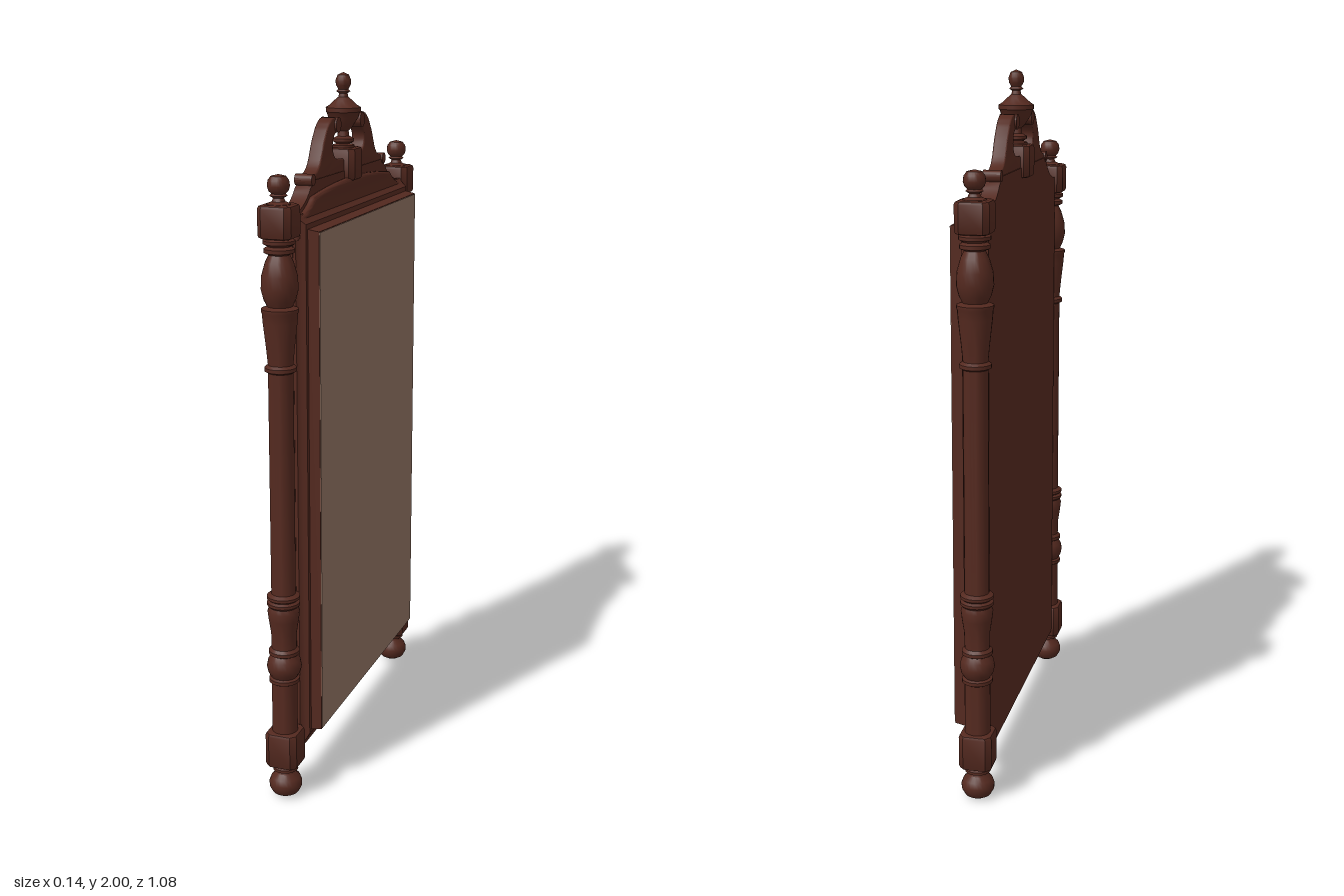
import * as THREE from 'three';
import { toCreasedNormals } from 'three/addons/utils/BufferGeometryUtils.js';

const POST_X = -0.02, POST_Z = 0.49;

export function createModel() {
  const model = new THREE.Group();
  model.name = 'standingMirror';
  const wood = new THREE.MeshStandardMaterial({ name: 'dark wood', color: 0x54291f });
  const glass = new THREE.MeshStandardMaterial({ name: 'mirror glass', color: 0x8f7262 });

  const add = (name, geometry, material = wood, x = 0, y = 0, z = 0, parent = model) => {
    const mesh = new THREE.Mesh(geometry, material);
    mesh.name = name;
    mesh.position.set(x, y, z);
    parent.add(mesh);
    return mesh;
  };
  const crease = (g) => toCreasedNormals(g, 0.6);
  // turned part from [radius, height] pairs
  const turned = (pairs) =>
    crease(new THREE.LatheGeometry(pairs.map(([r, y]) => new THREE.Vector2(r, y)), 24));
  // outline in the (z, y) plane, extruded from x0 to x1
  const panel = (shape, x0, x1, bevel = 0) => {
    const g = new THREE.ExtrudeGeometry(shape, {
      depth: x1 - x0 - 2 * bevel, curveSegments: 10, bevelEnabled: bevel > 0,
      bevelSize: bevel, bevelThickness: bevel, bevelOffset: -bevel, bevelSegments: 3,
    });
    g.translate(0, 0, x0 + bevel).rotateY(Math.PI / 2);
    return crease(g);
  };
  // square post block: chamfered corners, bevelled top and bottom
  const block = (half, height) => {
    const c = half * 0.68, s = new THREE.Shape();
    [[half, -c], [half, c], [c, half], [-c, half], [-half, c], [-half, -c], [-c, -half], [c, -half]]
      .forEach(([x, y], i) => (i ? s.lineTo(x, y) : s.moveTo(x, y)));
    const b = 0.01;
    const g = new THREE.ExtrudeGeometry(s, {
      depth: height - 2 * b, bevelSize: b, bevelThickness: b, bevelOffset: -b, bevelSegments: 2,
    });
    g.translate(0, 0, b).rotateX(-Math.PI / 2);
    return crease(g);
  };

  // Side posts
  const foot = turned([[0, 0], [0.022, 0.001], [0.037, 0.01], [0.046, 0.026], [0.047, 0.04], [0.041, 0.056],
    [0.026, 0.069], [0.024, 0.076], [0.036, 0.08], [0.036, 0.088], [0.026, 0.094], [0.026, 0.11]]);
  const shaft = turned([[0.036, 0.19], [0.036, 0.35], [0.043, 0.354], [0.043, 0.364], [0.036, 0.368],
    [0.045, 0.382], [0.049, 0.4], [0.045, 0.42], [0.036, 0.434], [0.043, 0.438], [0.043, 0.448],
    [0.035, 0.456], [0.036, 0.5], [0.042, 0.54], [0.045, 0.565], [0.04, 0.578], [0.046, 0.584],
    [0.046, 0.592], [0.038, 0.597], [0.046, 0.603], [0.046, 0.611], [0.034, 0.618], [0.034, 1.245],
    [0.043, 1.25], [0.043, 1.26], [0.034, 1.267], [0.038, 1.31], [0.046, 1.38], [0.048, 1.405],
    [0.05, 1.41], [0.05, 1.418], [0.034, 1.424], [0.043, 1.442], [0.05, 1.47], [0.048, 1.505],
    [0.038, 1.54], [0.028, 1.56], [0.041, 1.566], [0.041, 1.576], [0.03, 1.582], [0.043, 1.589],
    [0.043, 1.598], [0.034, 1.603], [0.034, 1.62]]);
  const topKnob = turned([[0.034, 1.68], [0.032, 1.692], [0.018, 1.698], [0.014, 1.707], [0.024, 1.713],
    [0.018, 1.718], [0.026, 1.725], [0.03, 1.738], [0.028, 1.752], [0.02, 1.763], [0, 1.768]]);
  for (const [side, z] of [['left', -POST_Z], ['right', POST_Z]]) {
    const post = new THREE.Group();
    post.name = side + 'Post';
    post.position.set(POST_X, 0, z);
    model.add(post);
    add('foot', foot, wood, 0, 0, 0, post);
    add('lowerBlock', block(0.047, 0.106), wood, 0, 0.096, 0, post);
    add('turnedShaft', shaft, wood, 0, 0, 0, post);
    add('upperBlock', block(0.047, 0.088), wood, 0, 1.603, 0, post);
    add('topKnob', topKnob, wood, 0, 0, 0, post);
  }

  // Back board with arched shoulders
  const board = new THREE.Shape();
  board.moveTo(-0.446, 0.12);
  board.lineTo(0.446, 0.12);
  board.lineTo(0.446, 1.655);
  board.quadraticCurveTo(0.36, 1.66, 0.315, 1.71);
  board.lineTo(0.28, 1.73);
  board.lineTo(-0.28, 1.73);
  board.lineTo(-0.315, 1.71);
  board.quadraticCurveTo(-0.36, 1.66, -0.446, 1.655);
  add('backBoard', panel(board, -0.045, 0));

  // Swan-neck scrolls, mirrored
  for (const s of [-1, 1]) {
    const neck = new THREE.Shape();
    neck.moveTo(s * 0.03, 1.70);
    neck.lineTo(s * 0.30, 1.70);
    neck.lineTo(s * 0.295, 1.742);
    neck.bezierCurveTo(s * 0.215, 1.745, s * 0.225, 1.80, s * 0.185, 1.842);
    neck.bezierCurveTo(s * 0.16, 1.878, s * 0.125, 1.892, s * 0.1, 1.878);
    neck.lineTo(s * 0.1, 1.842);
    neck.bezierCurveTo(s * 0.145, 1.835, s * 0.145, 1.775, s * 0.095, 1.768);
    neck.lineTo(s * 0.03, 1.762);
    const name = s < 0 ? 'right' : 'left';
    add(name + 'SwanNeck', panel(neck, -0.042, -0.002, 0.004));
    const scroll = (part, r, y, z) => {
      const g = new THREE.CylinderGeometry(r, r, 0.05, 20).rotateZ(Math.PI / 2);
      add(name + part, crease(g), wood, POST_X - 0.002, y, -s * z);
    };
    scroll('Curl', 0.021, 1.862, 0.1);
    scroll('ShoulderScroll', 0.016, 1.732, 0.298);
  }

  // Arched moulding over the glass
  const arch = new THREE.Shape();
  arch.moveTo(-0.445, 1.59);
  arch.lineTo(0.445, 1.59);
  arch.lineTo(0.445, 1.645);
  arch.quadraticCurveTo(0.37, 1.65, 0.32, 1.69);
  arch.quadraticCurveTo(0, 1.73, -0.32, 1.69);
  arch.quadraticCurveTo(-0.37, 1.65, -0.445, 1.645);
  add('archMoulding', panel(arch, -0.005, 0.018, 0.009));

  // Stepped frame moulding: loops of [x, half width, bottom, top]
  const loops = [[-0.002, 0.445, 0.12, 1.655], [0.008, 0.445, 0.12, 1.655], [0.013, 0.439, 0.136, 1.648],
    [0.022, 0.435, 0.15, 1.64], [0.032, 0.432, 0.168, 1.632], [0.034, 0.424, 0.178, 1.619],
    [0.064, 0.42, 0.182, 1.613]];
  const positions = [], index = [];
  loops.forEach(([x, w, b, t], i) => {
    positions.push(x, b, w, x, b, -w, x, t, -w, x, t, w);
    if (i) for (let k = 0; k < 4; k++) {
      const a = 4 * (i - 1) + k, c = 4 * (i - 1) + ((k + 1) % 4);
      index.push(a, c, c + 4, a, c + 4, a + 4);
    }
  });
  const last = 4 * (loops.length - 1);
  index.push(last, last + 1, last + 2, last, last + 2, last + 3);
  const frame = new THREE.BufferGeometry();
  frame.setAttribute('position', new THREE.Float32BufferAttribute(positions, 3));
  frame.setIndex(index);
  add('frameMoulding', crease(frame));

  // Mirror glass
  add('mirrorGlass', new THREE.BoxGeometry(0.003, 1.427, 0.836), glass, 0.0645, 0.8975, 0);

  // Central plinth and urn finial
  add('finialPlinth', block(0.046, 0.092), wood, POST_X, 1.7, 0);
  add('urnFinial', turned([[0.032, 1.785], [0.032, 1.798], [0.02, 1.802], [0.03, 1.808], [0.03, 1.816],
    [0.017, 1.823], [0.015, 1.838], [0.024, 1.846], [0.03, 1.855], [0.043, 1.875], [0.047, 1.888],
    [0.05, 1.891], [0.05, 1.903], [0.04, 1.909], [0.026, 1.922], [0.014, 1.932], [0.012, 1.942],
    [0.02, 1.947], [0.014, 1.953], [0.021, 1.965], [0.022, 1.978], [0.016, 1.993], [0, 2.0]]), wood, POST_X);

  return model;
}
